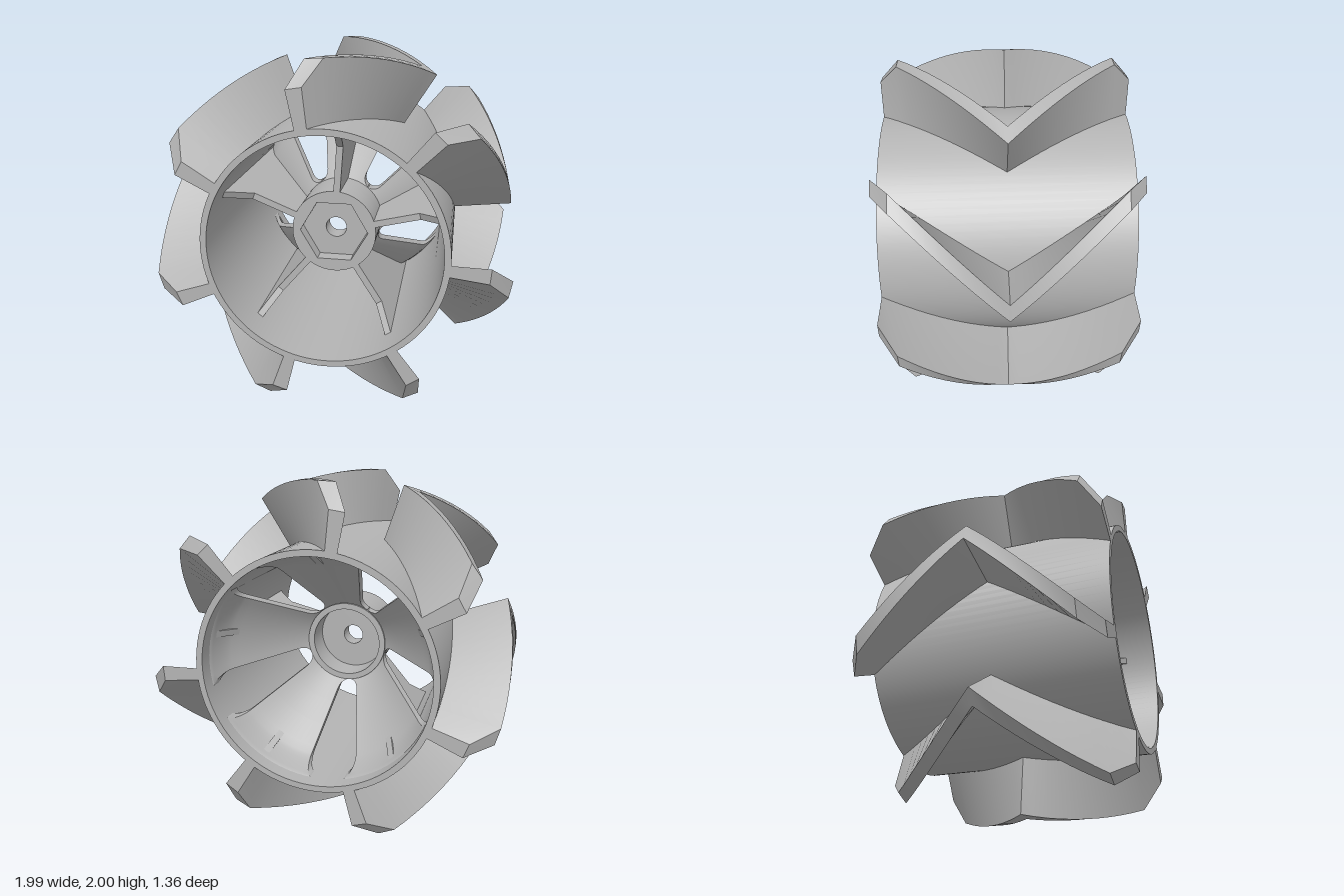
import * as THREE from 'three';
import { toCreasedNormals } from 'three/addons/utils/BufferGeometryUtils.js';

const rad = THREE.MathUtils.degToRad;
const grey = new THREE.MeshStandardMaterial({ color: 0xb4b4b4 });
grey.name = 'plain grey';

// Skin a list of equal-length closed loops, counter-clockwise seen from the far end
function loft(loops) {
  const pos = [];
  const tri = (...p) => p.forEach((v) => pos.push(...v));
  const n = loops[0].length;
  for (let i = 0; i < loops.length - 1; i++) {
    for (let j = 0; j < n; j++) {
      const k = (j + 1) % n, a = loops[i], b = loops[i + 1];
      tri(a[j], a[k], b[k]);
      tri(a[j], b[k], b[j]);
    }
  }
  const first = loops[0], last = loops[loops.length - 1];
  // strip-wise end caps
  for (let j = 0; j < n / 2 - 1; j++) {
    const m = n - 1 - j;
    tri(last[j], last[j + 1], last[m - 1]);
    tri(last[j], last[m - 1], last[m]);
    tri(first[j], first[m - 1], first[j + 1]);
    tri(first[j], first[m], first[m - 1]);
  }
  const g = new THREE.BufferGeometry();
  g.setAttribute('position', new THREE.Float32BufferAttribute(pos, 3));
  return toCreasedNormals(g, 0.5);
}

// Disc with a hole, extruded from z0 to z1
function ring(outer, hole, z0, z1) {
  const s = new THREE.Shape().absarc(0, 0, outer, 0, Math.PI * 2);
  s.holes.push(hole);
  const g = new THREE.ExtrudeGeometry(s, { depth: z1 - z0, bevelEnabled: false, curveSegments: 48 });
  g.translate(0, 0, z0);
  return toCreasedNormals(g, 0.5);
}
const circle = (r) => new THREE.Path().absarc(0, 0, r, 0, Math.PI * 2, true);

// Chevron tread: helical bar mirrored about z = 0, with chamfered ends
function treadGeometry() {
  const half = [0];
  for (let i = 1; i <= 10; i++) half.push(0.0575 * i);
  half.push(0.68);
  const stations = [...half.slice(1).reverse().map((z) => -z), ...half];
  return loft(stations.map((z) => {
    const a = rad(58 + 56 * Math.abs(z)), b = a + rad(5.6);
    const out = Math.abs(z) > 0.6 ? 0.875 : 1;
    const p = (r, t) => [r * Math.cos(t), r * Math.sin(t), z];
    return [p(0.655, a), p(out, a), p(out, b), p(0.655, b)];
  }));
}

// Conical web: height of its back face and half width of the slots at radius r
const webBack = (r) => -0.02 - 1.3 * (r - 0.25) - 0.08 * Math.max(0, (r - 0.57) / 0.065) ** 2;
function slotHalf(r) {
  const lin = 0.07 + (r - 0.33) * 0.26, r0 = 0.243, r1 = 0.633, c0 = 0.045, c1 = 0.06;
  const cut = (d, c) => (d >= c ? 0 : c - Math.sqrt(Math.max(0, c * c - (c - d) ** 2)));
  return Math.max(0.001, lin - cut(Math.max(0, r - r0), c0) - cut(Math.max(0, r1 - r), c1));
}

// One web panel between two slots
function panelGeometry() {
  const radii = [0.235, 0.243, 0.246, 0.25, 0.257, 0.266, 0.277, 0.288, 0.35, 0.45, 0.54,
    0.573, 0.585, 0.597, 0.609, 0.619, 0.626, 0.631, 0.64];
  return loft(radii.map((r) => {
    const h = rad(36) - Math.asin(slotHalf(r) / r);
    const z = webBack(Math.min(r, 0.635)), loop = [], n = 12;
    const put = (i, zz) => {
      const t = h * (2 * i / n - 1);
      loop.push([r * Math.cos(t), r * Math.sin(t), zz]);
    };
    for (let i = 0; i <= n; i++) put(i, z);
    for (let i = n; i >= 0; i--) put(i, z + 0.07);
    return loop;
  }));
}

// Thin stiffening rib from hub to rim, raised where it meets the rim
function ribGeometry() {
  const t = 0.019;
  return loft([[0.23, 0.34], [0.5, 0.34], [0.64, 0.5]].map(([r, top]) => {
    const bottom = webBack(r) + 0.03;
    return [[r, -t, bottom], [r, t, bottom], [r, t, top], [r, -t, top]];
  }));
}

export function createModel() {
  const model = new THREE.Group();
  model.name = 'treadedWheel';
  const wheel = new THREE.Group();
  wheel.name = 'wheel';
  wheel.position.y = 1;
  model.add(wheel);
  const add = (name, geometry, angle = 0) => {
    const m = new THREE.Mesh(geometry, grey);
    m.name = name;
    m.rotation.z = angle;
    wheel.add(m);
  };

  add('rim', ring(0.67, circle(0.635), -0.68, 0.68));

  // Hub: hexagonal socket in front, bored floor, open sleeve behind
  const hex = new THREE.Path();
  hex.setFromPoints([0, 1, 2, 3, 4, 5].map((i) =>
    new THREE.Vector2(0.195 * Math.cos(-i * Math.PI / 3), 0.195 * Math.sin(-i * Math.PI / 3))));
  hex.closePath();
  add('hubSocket', ring(0.24, hex, 0.26, 0.34));
  add('hubFloor', ring(0.24, circle(0.06), 0.15, 0.26));
  add('hubSleeve', ring(0.24, circle(0.205), -0.02, 0.15));

  const panel = panelGeometry(), rib = ribGeometry(), tread = treadGeometry();
  for (let i = 0; i < 5; i++) {
    const angle = rad(86 + 72 * i);
    add('webPanel', panel, angle);
    add('rib', rib, angle);
  }
  for (let i = 0; i < 7; i++) add('tread', tread, i * Math.PI * 2 / 7);

  return model;
}
